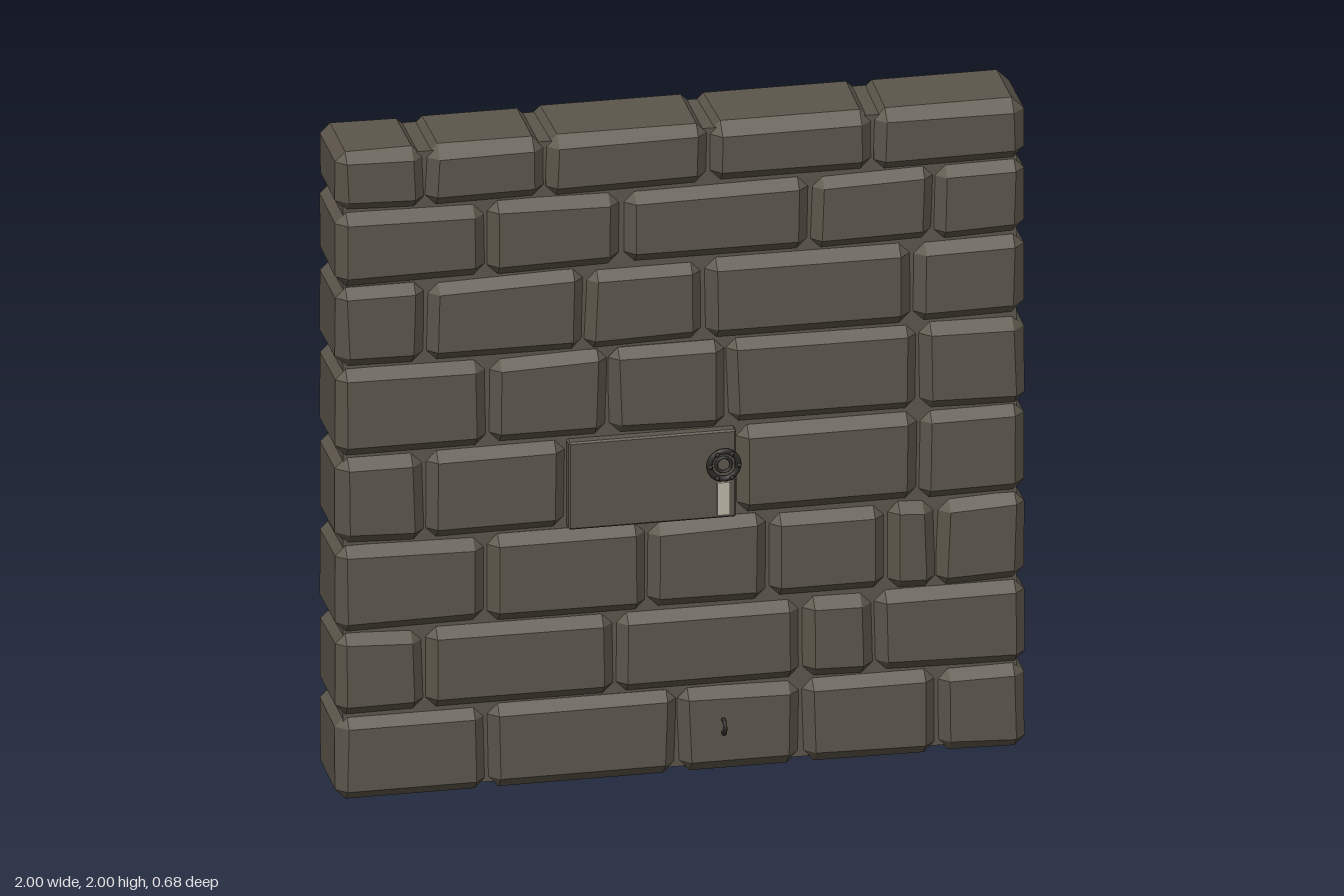
import * as THREE from 'three';
import { ConvexGeometry } from 'three/addons/geometries/ConvexGeometry.js';

const material = (name, color, extra = {}) => {
  const m = new THREE.MeshStandardMaterial({ color, ...extra });
  m.name = name;
  return m;
};

// Small repeatable random generator for uneven stone edges
let seed = 7;
const jitter = (amount) => {
  seed = (seed * 16807) % 2147483647;
  return (seed / 2147483647 - 0.5) * 2 * amount;
};

// Chamfered block: the hull of three face points at each corner
function blockGeometry(w, h, d, bevel, rough) {
  const points = [];
  for (const sx of [-1, 1]) for (const sy of [-1, 1]) for (const sz of [-1, 1]) {
    const b = bevel + jitter(rough);
    const x = w / 2, y = h / 2, z = d / 2;
    points.push(
      new THREE.Vector3(sx * x, sy * (y - b), sz * (z - b)),
      new THREE.Vector3(sx * (x - b), sy * y, sz * (z - b)),
      new THREE.Vector3(sx * (x - b), sy * (y - b), sz * z),
    );
  }
  return new ConvexGeometry(points);
}

export function createModel() {
  const stone = material('stone', 0x5c564b, { flatShading: true });
  const iron = material('dark iron', 0x2c2a27);
  const pale = material('pale feather', 0xb8b4a4, { side: THREE.DoubleSide });

  const model = new THREE.Group();
  model.name = 'stoneWall';
  const add = (parent, name, geometry, mat, x = 0, y = 0, z = 0) => {
    const mesh = new THREE.Mesh(geometry, mat);
    mesh.name = name;
    mesh.position.set(x, y, z);
    parent.add(mesh);
    return mesh;
  };

  // Wall courses: bottom, top and the brick joints along x
  const courses = [
    [0, 0.262, [-1, -0.56, -0.01, 0.35, 0.74, 1]],
    [0.262, 0.515, [-1, -0.74, -0.19, 0.35, 0.56, 1]],
    [0.515, 0.785, [-1, -0.56, -0.1, 0.25, 0.6, 0.74, 1]],
    [0.785, 1.06, [-1, -0.74, -0.33, 0.16, 0.69, 1]],
    [1.06, 1.33, [-1, -0.56, -0.21, 0.13, 0.69, 1]],
    [1.33, 1.582, [-1, -0.74, -0.28, 0.07, 0.67, 1]],
    [1.582, 1.812, [-1, -0.56, -0.17, 0.375, 0.735, 1]],
    [1.812, 2, [-1, -0.74, -0.39, 0.08, 0.56, 1]],
  ];
  const wallZ = 0.17;
  const wall = new THREE.Group();
  wall.name = 'bricks';
  model.add(wall);
  courses.forEach(([y0, y1, joints], row) => {
    for (let i = 0; i + 1 < joints.length; i++) {
      const x0 = joints[i], x1 = joints[i + 1];
      const smooth = row === 3 && i === 2; // loose block with crisp edges
      const geometry = smooth
        ? blockGeometry(x1 - x0 - 0.004, y1 - y0 - 0.006, 0.278, 0.005, 0)
        : blockGeometry(x1 - x0 - 0.004, y1 - y0 - 0.004, 0.275 + jitter(0.004), 0.033, 0.005);
      add(wall, smooth ? 'smoothBlock' : 'brick', geometry, stone,
        (x0 + x1) / 2, (y0 + y1) / 2, wallZ);
    }
  });

  // Mortar core behind the joints
  add(model, 'mortarCore', new THREE.BoxGeometry(1.95, 1.96, 0.215), stone, 0, 1, wallZ);

  // Round fitting on the front with studs and a pale tag
  const fitting = new THREE.Group();
  fitting.name = 'roundFitting';
  fitting.position.set(0.12, 0.955, 0.312);
  model.add(fitting);
  add(fitting, 'outerRing', new THREE.TorusGeometry(0.042, 0.009, 8, 24), iron, 0, 0, 0.006);
  add(fitting, 'innerRing', new THREE.TorusGeometry(0.022, 0.005, 6, 20), iron, 0, 0, 0.002);
  for (let i = 0; i < 6; i++) {
    const a = (i / 6) * Math.PI * 2;
    add(fitting, 'stud', new THREE.SphereGeometry(0.007, 8, 6), iron,
      0.042 * Math.cos(a), 0.042 * Math.sin(a), 0.016);
  }
  add(model, 'paleTag', new THREE.BoxGeometry(0.036, 0.1, 0.008), pale, 0.12, 0.85, 0.313);

  // Small upright ring near the foot of the wall
  const eyelet = add(model, 'lowerEyelet', new THREE.TorusGeometry(0.021, 0.006, 8, 20), iron,
    0.12, 0.147, 0.315);
  eyelet.rotation.y = Math.PI / 2;

  // Arrow standing out of the back
  const arrow = new THREE.Group();
  arrow.name = 'arrow';
  arrow.position.set(0.12, 0.955, 0);
  model.add(arrow);
  const rod = (name, radius, z0, z1) => {
    const mesh = add(arrow, name, new THREE.CylinderGeometry(radius, radius, z1 - z0, 10), iron,
      0, 0, (z0 + z1) / 2);
    mesh.rotation.x = Math.PI / 2;
  };
  rod('shaft', 0.006, -0.33, 0.3);
  rod('tailSleeve', 0.009, -0.34, -0.19);
  rod('wallCollar', 0.018, 0.022, 0.06);

  // Crossed leaf-shaped feathers
  const leaf = new THREE.Shape();
  leaf.absellipse(0, 0, 0.037, 0.065, 0, Math.PI * 2);
  for (const turn of [0, Math.PI / 2]) {
    const holder = new THREE.Group();
    holder.name = 'featherHolder';
    holder.position.z = -0.25;
    holder.rotation.z = turn;
    arrow.add(holder);
    add(holder, 'feather', new THREE.ShapeGeometry(leaf, 12), pale).rotation.x = Math.PI / 2;
  }

  return model;
}
